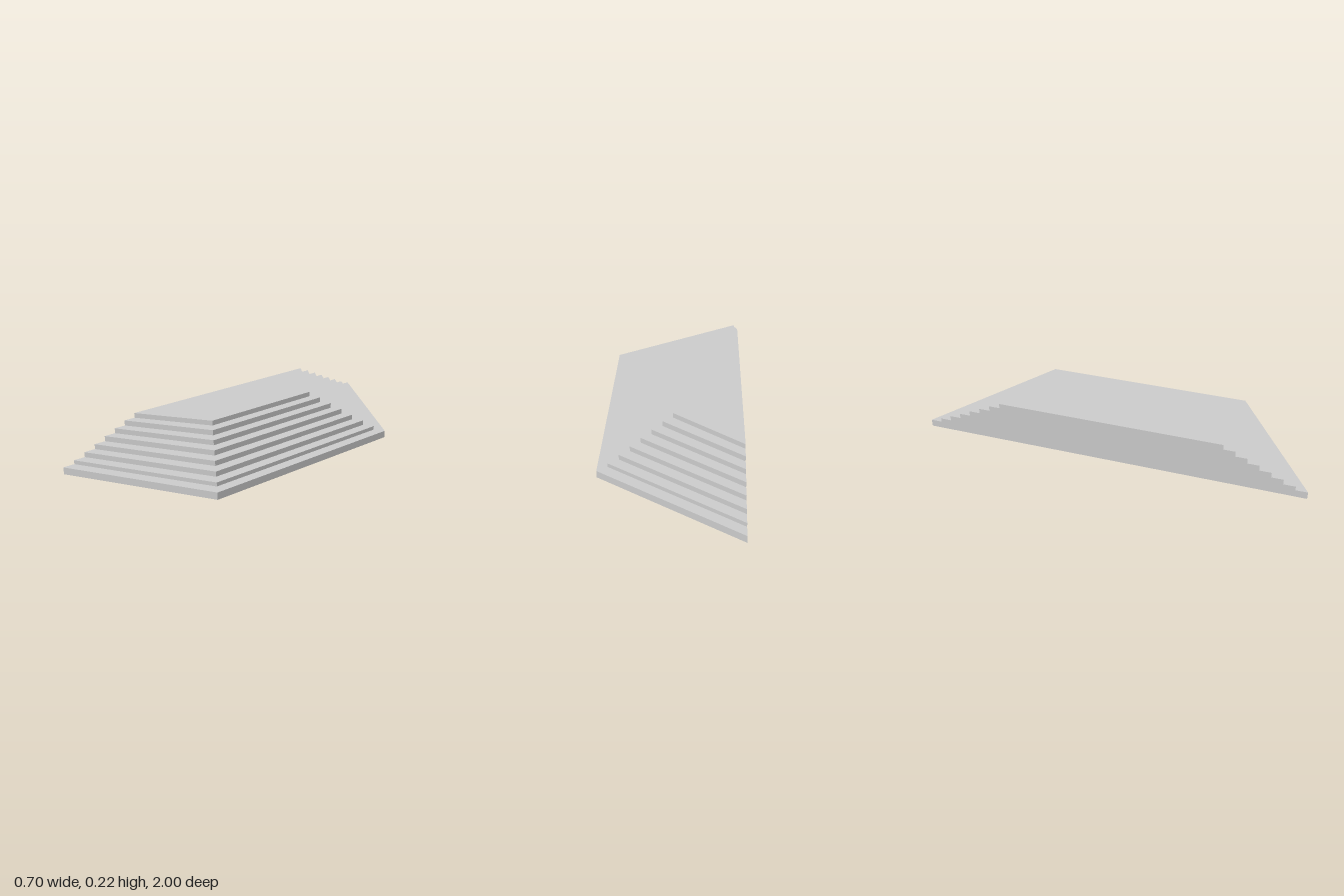
import * as THREE from 'three';

const BACK_X = -0.352;
// top height of each step, lowest first
const TOPS = [0.038, 0.059, 0.086, 0.113, 0.141, 0.168, 0.196, 0.222];

// trapezoid slab: long edge on the flat side, short edge at frontX
function slab(frontX, longHalf, shortHalf, bottom, top) {
  const shape = new THREE.Shape([
    new THREE.Vector2(BACK_X, -longHalf),
    new THREE.Vector2(frontX, -shortHalf),
    new THREE.Vector2(frontX, shortHalf),
    new THREE.Vector2(BACK_X, longHalf),
  ]);
  const geometry = new THREE.ExtrudeGeometry(shape, { depth: top - bottom, bevelEnabled: false });
  return geometry.rotateX(-Math.PI / 2).translate(0, bottom, 0);
}

export function createModel() {
  const model = new THREE.Group();
  model.name = 'steppedPlatform';
  const material = new THREE.MeshStandardMaterial({ color: 0xcccccc, flatShading: true });

  // eight steps, each set in evenly from the one below
  TOPS.forEach((top, i) => {
    const t = i / (TOPS.length - 1);
    const geometry = slab(
      THREE.MathUtils.lerp(0.352, -0.007, t),
      THREE.MathUtils.lerp(1, 0.583, t),
      THREE.MathUtils.lerp(0.573, 0.335, t),
      i ? TOPS[i - 1] : 0,
      top,
    );
    const step = new THREE.Mesh(geometry, material);
    step.name = i === 0 ? 'baseStep' : i === TOPS.length - 1 ? 'topPlatform' : `step${i + 1}`;
    model.add(step);
  });
  return model;
}
